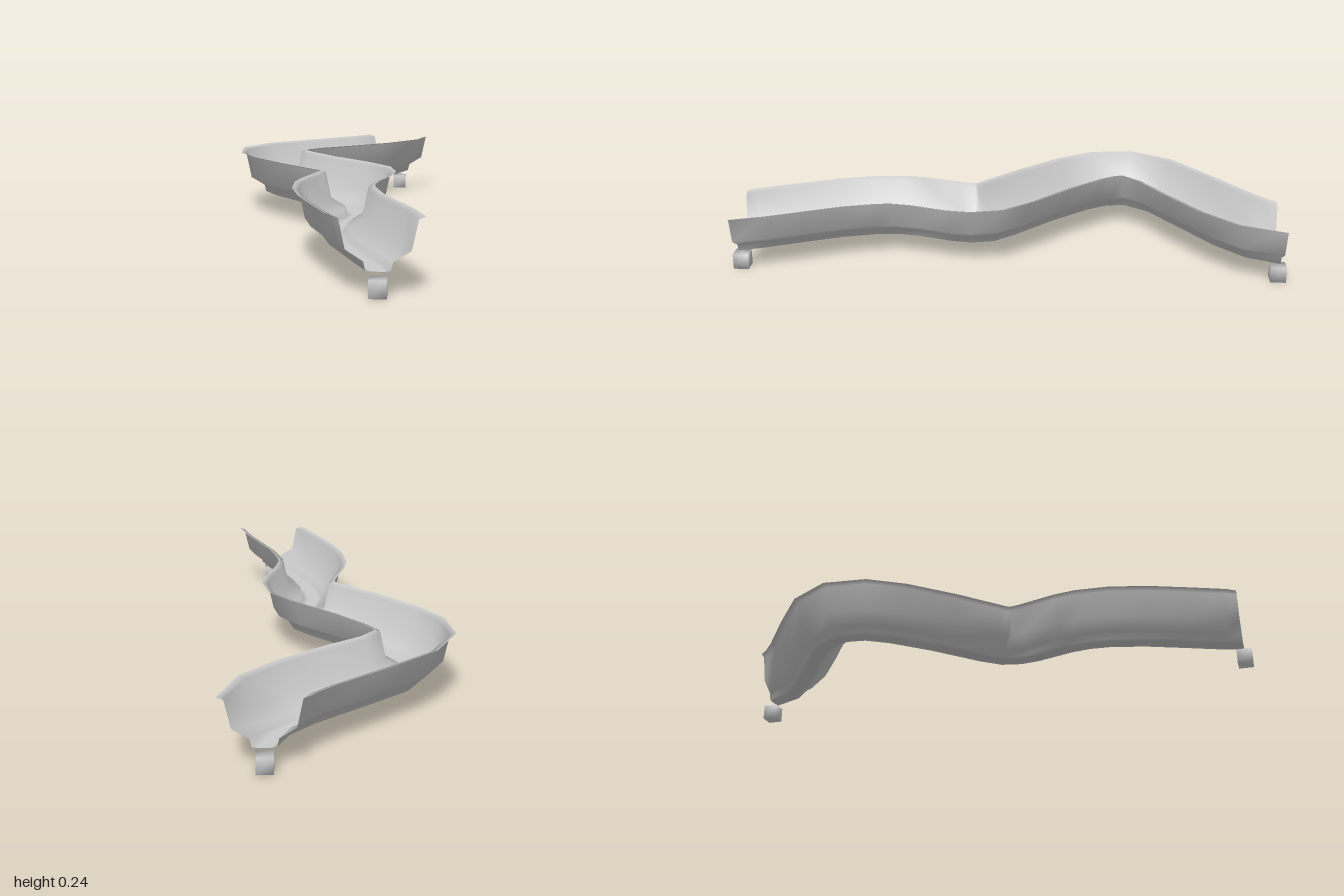
import * as THREE from 'three';
import { mergeVertices } from 'three/addons/utils/BufferGeometryUtils.js';

// Channel cross-section: [offset across the path, height]
const half = [[0.14, 0.243], [0.118, 0.235], [0.098, 0.14], [0.044, 0.106], [0.038, 0.079], [0.02, 0.076]];
const profile = [...half.map(([u, y]) => [-u, y]), ...half.slice().reverse()];

// Winding path: [x, z, angle of the cross-section in degrees]
const path = [
  [0.25, -0.972, 0], [0.207, -0.873, 29], [0.12, -0.785, 50], [-0.045, -0.66, 46.5],
  [-0.19, -0.55, 31], [-0.257, -0.444, 9], [-0.246, -0.355, -21], [-0.193, -0.267, -41],
  [-0.074, -0.13, -51], [0.069, 0.01, -49], [0.119, 0.071, -26], [0.132, 0.132, 0],
  [0.124, 0.196, 11], [0.082, 0.336, 8], [0.071, 0.413, 5], [0.077, 0.497, -10],
  [0.111, 0.627, -14], [0.167, 0.767, -21], [0.22, 0.894, -20], [0.25, 0.972, 0],
];

function channelGeometry() {
  const positions = [], index = [], n = profile.length;
  path.forEach(([x, z, deg], i) => {
    const a = THREE.MathUtils.degToRad(deg);
    profile.forEach(([u, y], j) => {
      positions.push(x + u * Math.cos(a), y, z + u * Math.sin(a));
      if (i === 0 || j === 0) return;
      const d = i * n + j, c = d - 1, b = d - n, p = b - 1;
      index.push(p, c, b, b, c, d);
    });
  });
  const g = new THREE.BufferGeometry();
  g.setAttribute('position', new THREE.Float32BufferAttribute(positions, 3));
  g.setIndex(index);
  g.computeVertexNormals();
  return g;
}

// Small cube whose normals are blended over its corners
function softCube(w, h, d) {
  let g = new THREE.BoxGeometry(w, h, d);
  g.deleteAttribute('normal');
  g.deleteAttribute('uv');
  g = mergeVertices(g);
  g.computeVertexNormals();
  return g;
}

export function createModel() {
  const model = new THREE.Group();
  model.name = 'windingChannel';

  const channel = new THREE.Mesh(
    channelGeometry(),
    new THREE.MeshStandardMaterial({ color: 0xcccccc, side: THREE.DoubleSide }),
  );
  channel.name = 'channel';
  model.add(channel);

  // End markers below both mouths of the channel
  const grey = new THREE.MeshStandardMaterial({ color: 0xcccccc });
  for (const [name, side] of [['frontEndBlock', 1], ['backEndBlock', -1]]) {
    const block = new THREE.Mesh(softCube(0.055, 0.056, 0.055), grey);
    block.name = name;
    block.position.set(0.25, 0.028, side * 0.9725);
    model.add(block);
  }
  return model;
}
